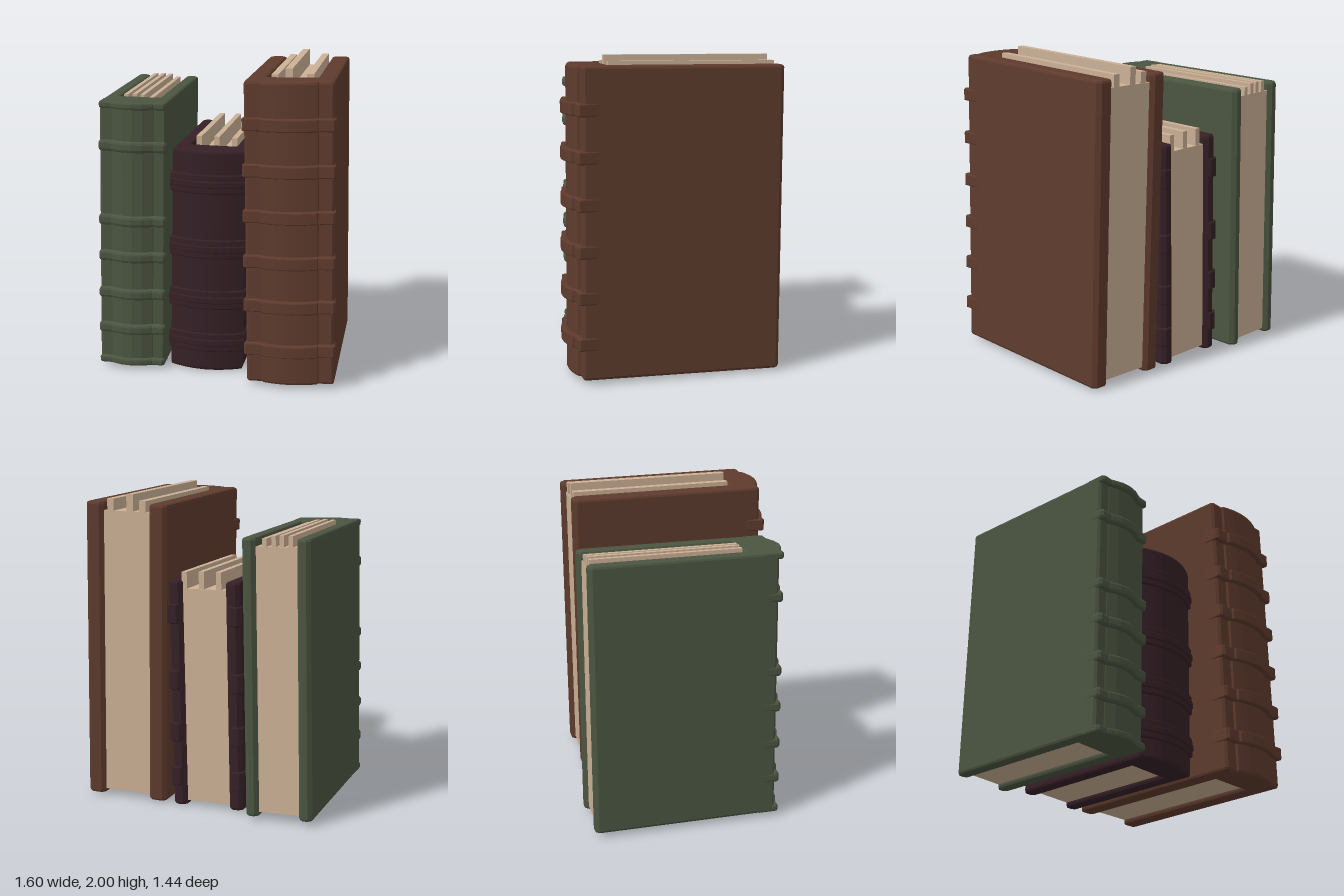
import * as THREE from 'three';

const mat = (color) => new THREE.MeshStandardMaterial({ color, flatShading: true, side: THREE.DoubleSide });

// Outline of the front of the spine, running from +x to -x; o pushes it outwards.
function spineLine(b, o, side) {
  const W = b.W + side, pts = [];
  const c = b.bulge < b.W ? 0.015 : 0;
  pts.push([W, b.shoulder + o - c]);
  if (c) pts.push([W - c, b.shoulder + o], [b.bulge, b.shoulder + o]);
  const n = b.facets, z0 = b.shoulder + b.step + o;
  const half = c ? b.bulge - 0.005 : W;
  for (let i = c ? 0 : 1; i <= (c ? n : n - 1); i++) {
    const t = 1 - (2 * i) / n;
    pts.push([t * half, z0 + (b.front - b.shoulder - b.step) * (1 - t * t)]);
  }
  if (c) pts.push([-b.bulge, b.shoulder + o], [-W + c, b.shoulder + o]);
  pts.push([-W, b.shoulder + o - c]);
  return pts;
}

// U-shaped plan: two boards joined by the spine.
function coverPlan(b, o, gap = 0) {
  const W = b.W + o, w = b.w + gap, r = 0.025, zb = b.back - o;
  return [
    [w, b.inner + gap], [w, zb + r], [w + r, zb], [W - r, zb], [W, zb + r],
    ...spineLine(b, o, o),
    [-W, zb + r], [-W + r, zb], [-w - r, zb], [-w, zb + r], [-w, b.inner + gap],
  ];
}

// Solid slab that wraps only the spine, its sides fading into the boards.
function bandPlan(b, o, side) {
  const z = b.shoulder - 0.1;
  return [[b.W - 0.02, z - 0.02], [b.W, z], ...spineLine(b, o, side), [-b.W, z], [-b.W + 0.02, z - 0.02]];
}

// Raise an x-z plan from y0 to y1 with bevelled rims.
function raise(plan, y0, y1, bevel) {
  const shape = new THREE.Shape(plan.map(([x, z]) => new THREE.Vector2(x, -z)));
  const geo = new THREE.ExtrudeGeometry(shape, {
    depth: y1 - y0 - 2 * bevel, bevelEnabled: true, bevelThickness: bevel,
    bevelSize: bevel, bevelOffset: -bevel, bevelSegments: 2,
  });
  return geo.rotateX(-Math.PI / 2).translate(0, y0 + bevel, 0);
}

function makeBook(b) {
  const book = new THREE.Group();
  book.name = b.name;
  const leather = mat(b.color), paper = mat(0xcbb095);
  const add = (name, geo, material) => {
    const mesh = new THREE.Mesh(geo, material);
    mesh.name = name;
    book.add(mesh);
  };

  add('cover', raise(coverPlan(b, 0), 0, b.H, 0.018), leather);

  // Raised bands
  for (const y of b.bands) {
    const h = b.bandHeight / 2;
    if (b.fullWrap) {
      add('wrapBand', raise(coverPlan(b, 0.012, 0.012), y - h, y + h, 0.008), leather);
      add('spineRidge', raise(bandPlan(b, 0.02, 0.014), y - h * 0.35, y + h * 0.35, 0.006), leather);
    } else {
      add('spineBand', raise(bandPlan(b, b.bandOut, b.bandSide), y - h, y + h, b.bandBevel), leather);
    }
  }
  // Flared head and tail caps
  if (b.caps) {
    for (const y of [0, b.H - 0.045]) {
      add('spineCap', raise(bandPlan(b, 0.03, 0), y, y + 0.045, 0.012), leather);
    }
  }

  // Page block, recessed at head and tail, with taller bundles of pages
  const zb = b.back + 0.025, depth = b.inner - zb + 0.004, zc = zb + depth / 2;
  const y0 = 0.03, y1 = b.H - 0.055;
  add('pageBlock', new THREE.BoxGeometry(b.w * 2 + 0.004, y1 - y0, depth).translate(0, (y0 + y1) / 2, zc), paper);
  for (const [x, width, top] of b.sheets) {
    const h = top - y1 + 0.02;
    add('pages', new THREE.BoxGeometry(width, h, depth - 0.004).translate(x, top - h / 2, zc), paper);
  }

  book.position.set(b.x, b.y, 0);
  book.rotation.set(b.pitch, b.yaw, b.lean);
  return book;
}

export function createModel() {
  const model = new THREE.Group();
  model.name = 'bookRow';
  model.add(
    makeBook({
      name: 'greenBook', color: 0x4b5541, x: -0.57, y: 0.025, pitch: 0, yaw: 0.022, lean: -0.018,
      W: 0.215, w: 0.13, H: 1.745, back: -0.725, inner: 0.25,
      shoulder: 0.455, step: 0.004, bulge: 0.135, front: 0.493, facets: 4,
      bands: [0.245, 0.485, 0.735, 0.975, 1.46], bandHeight: 0.07, bandOut: 0.03, bandSide: 0.004, bandBevel: 0.018,
      caps: true,
      sheets: [[-0.088, 0.028, 1.757], [-0.033, 0.028, 1.76], [0.018, 0.028, 1.757], [0.075, 0.028, 1.74]],
    }),
    makeBook({
      name: 'maroonBook', color: 0x352026, x: -0.075, y: 0.005, pitch: 0, yaw: 0, lean: -0.018,
      W: 0.238, w: 0.145, H: 1.465, back: -0.625, inner: 0.255,
      shoulder: 0.395, step: 0, bulge: 0.238, front: 0.463, facets: 10,
      bands: [0.195, 0.485, 0.825, 1.25], bandHeight: 0.125, fullWrap: true,
      sheets: [[-0.095, 0.035, 1.52], [0.02, 0.035, 1.52], [0.135, 0.035, 1.515]],
    }),
    makeBook({
      name: 'brownBook', color: 0x5e3b2d, x: 0.503, y: 0.018, pitch: -0.01, yaw: 0.01, lean: 0.017,
      W: 0.277, w: 0.157, H: 1.925, back: -0.63, inner: 0.45,
      shoulder: 0.635, step: 0.015, bulge: 0.18, front: 0.682, facets: 8,
      bands: [0.23, 0.517, 0.802, 1.09, 1.377, 1.663], bandHeight: 0.08, bandOut: 0.035, bandSide: 0.012, bandBevel: 0.008,
      sheets: [[-0.108, 0.045, 1.94], [-0.02, 0.045, 1.978], [0.112, 0.045, 1.945]],
    }),
  );
  return model;
}
